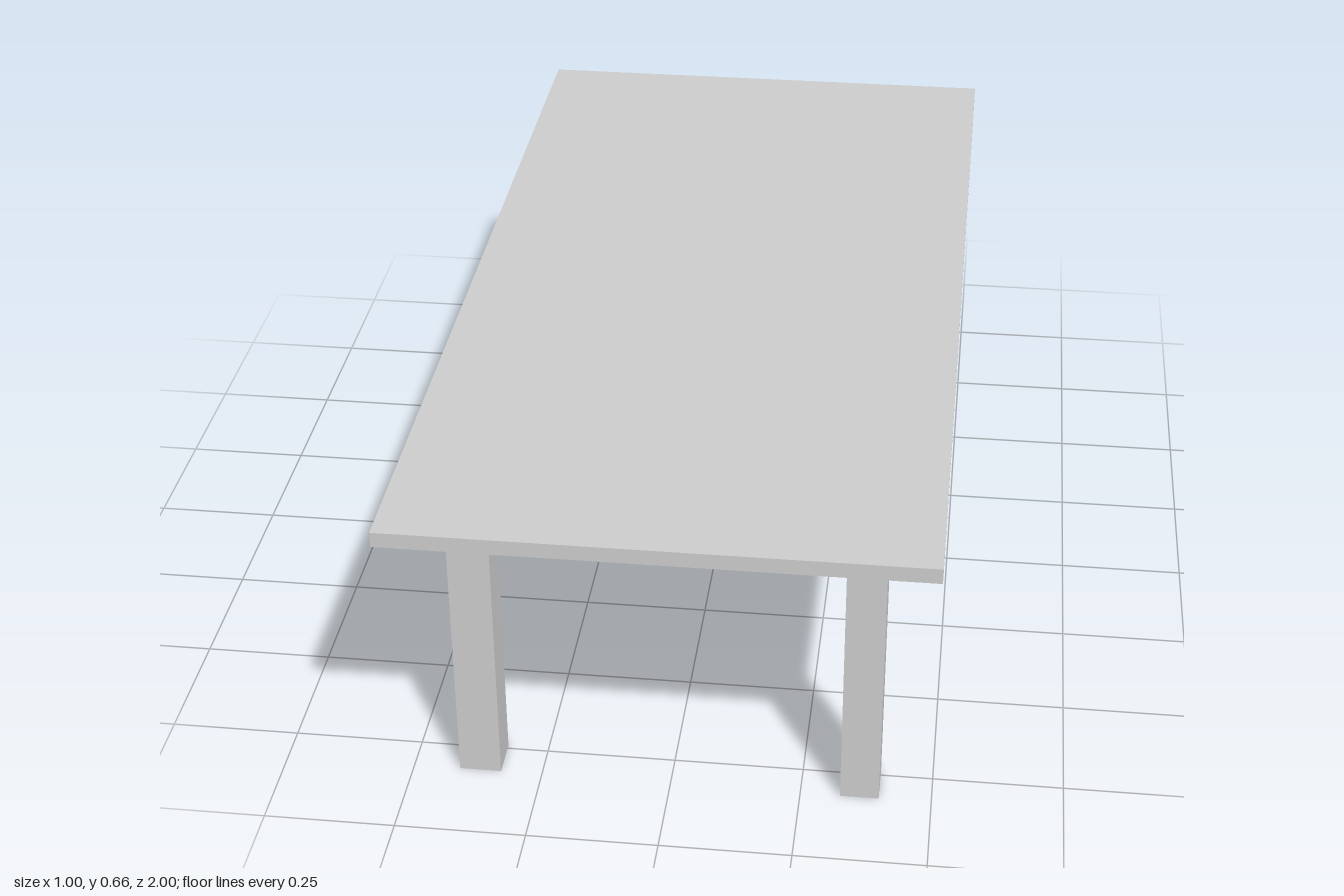
import * as THREE from 'three';

const material = new THREE.MeshStandardMaterial({ color: 0xcccccc });

// Box given by its minimum and maximum on each axis
function block(name, [x0, x1], [y0, y1], [z0, z1]) {
  const mesh = new THREE.Mesh(new THREE.BoxGeometry(x1 - x0, y1 - y0, z1 - z0), material);
  mesh.name = name;
  mesh.position.set((x0 + x1) / 2, (y0 + y1) / 2, (z0 + z1) / 2);
  return mesh;
}

export function createModel() {
  const table = new THREE.Group();
  table.name = 'table';

  // Thin rectangular top
  const underside = 0.634;
  table.add(block('tableTop', [-0.5, 0.5], [underside, 0.664], [-1, 1]));

  // Four square legs, set in from the corners and slightly off centre
  const sides = { Left: [0.326, 0.4], Right: [-0.41, -0.33] };
  const ends = { front: [0.741, 0.82], back: [-0.801, -0.721] };
  for (const [end, z] of Object.entries(ends)) {
    for (const [side, x] of Object.entries(sides)) {
      table.add(block(`${end}${side}Leg`, x, [0, underside], z));
    }
  }
  return table;
}
